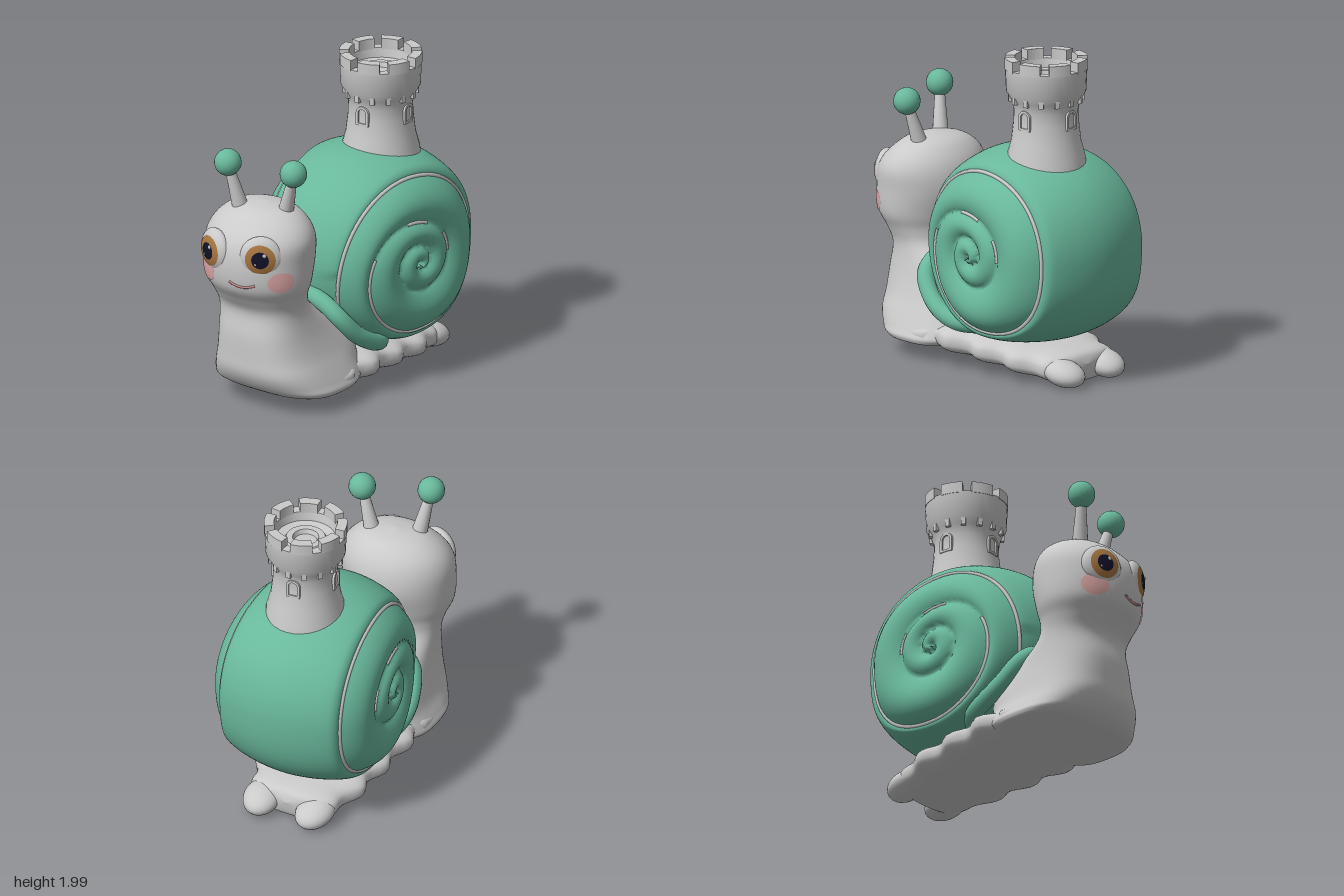
import * as THREE from 'three';
import { mergeVertices, toCreasedNormals } from 'three/addons/utils/BufferGeometryUtils.js';

const material = (name, color, side = THREE.FrontSide) => {
  const m = new THREE.MeshStandardMaterial({ color, side });
  m.name = name;
  return m;
};
const { PI, sin, cos, sign, abs, min, max, pow, floor, sqrt } = Math;

// Uniform Catmull-Rom through rows of numbers, t counted in rows
function spline(rows, t) {
  const n = rows.length - 1;
  t = min(max(t, 0), n);
  const i = min(floor(t), n - 1), f = t - i;
  const [p, a, b, q] = [max(i - 1, 0), i, i + 1, min(i + 2, n)].map(k => rows[k]);
  return a.map((v, k) => v + 0.5 * f * (b[k] - p[k]
    + f * (2 * p[k] - 5 * v + 4 * b[k] - q[k] + f * (3 * (v - b[k]) + q[k] - p[k]))));
}

// Smooth surface from a function of u and v, both 0..1
function surface(f, nu, nv) {
  const pos = [], index = [];
  for (let j = 0; j <= nv; j++) for (let i = 0; i <= nu; i++) pos.push(...f((i % nu) / nu, j / nv));
  for (let j = 0; j < nv; j++) for (let i = 0; i < nu; i++) {
    const a = j * (nu + 1) + i, c = a + nu + 1;
    index.push(a, a + 1, c, a + 1, c + 1, c);
  }
  const g = new THREE.BufferGeometry();
  g.setAttribute('position', new THREE.Float32BufferAttribute(pos, 3));
  g.setIndex(index);
  const merged = mergeVertices(g, 1e-5);
  merged.computeVertexNormals();
  return merged;
}
const power = (v, e) => sign(v) * pow(abs(v), e);

// Neck and head sections: y, centre x, centre z, half width, half depth, squareness
const BODY = [
  [0.095, -0.02, 0.40, 0, 0, 0.7], [0.1, -0.02, 0.40, 0.36, 0.24, 0.7],
  [0.13, -0.02, 0.40, 0.425, 0.33, 0.7], [0.18, -0.02, 0.40, 0.41, 0.385, 0.7],
  [0.26, -0.02, 0.42, 0.375, 0.405, 0.7], [0.36, -0.03, 0.42, 0.34, 0.41, 0.7],
  [0.50, -0.04, 0.50, 0.305, 0.33, 0.75], [0.65, -0.05, 0.59, 0.288, 0.225, 0.85],
  [0.75, -0.05, 0.63, 0.31, 0.24, 0.95], [0.85, -0.05, 0.65, 0.35, 0.285, 1],
  [1.00, -0.05, 0.64, 0.36, 0.31, 1], [1.13, -0.045, 0.63, 0.355, 0.29, 1],
  [1.23, -0.045, 0.61, 0.295, 0.225, 1], [1.30, -0.04, 0.60, 0.18, 0.135, 1],
  [1.325, -0.04, 0.60, 0, 0, 1],
];
function bodyPoint(t, a, off = 0) {
  const [y, cx, cz, rx, rz, e] = spline(BODY, t);
  return [cx + (max(rx, 0) + off) * power(sin(a), e), y, cz + (max(rz, 0) + off) * power(cos(a), e)];
}
function rowAt(y) {
  let lo = 0, hi = BODY.length - 1;
  for (let k = 0; k < 30; k++) {
    const mid = (lo + hi) / 2;
    if (spline(BODY, mid)[0] < y) lo = mid; else hi = mid;
  }
  return lo;
}

// Foot sections from tail to front: z, half width, top, bottom
const FOOT = [
  [-0.77, 0, 0.12, 0.12], [-0.74, 0.19, 0.18, 0.015], [-0.66, 0.29, 0.205, 0.012],
  [-0.5, 0.34, 0.225, 0.03], [-0.25, 0.37, 0.25, 0.05], [0.1, 0.40, 0.28, 0.07],
  [0.35, 0.415, 0.24, 0.085], [0.55, 0.39, 0.2, 0.1], [0.65, 0.35, 0.18, 0.11],
  [0.71, 0.25, 0.17, 0.13], [0.73, 0, 0.15, 0.15],
];
function footPoint(u, v) {
  const [z, w, top, bottom] = spline(FOOT, v * (FOOT.length - 1));
  const wave = 1 + (z < 0.25 ? 0.07 * sin(z * 24) : 0);
  return [-0.02 + max(w, 0) * wave * power(cos(u * 2 * PI), 0.75),
    (top + bottom) / 2 + (top - bottom) / 2 * power(sin(u * 2 * PI), 0.75), z];
}

// Spiral groove radius for every quarter turn, starting at the rim
const SPIRAL = [1.04, 0.87, 0.8, 0.79, 0.82, 0.62, 0.4, 0.36, 0.32, 0.25, 0.18, 0.12, 0.06, 0].map(v => [v]);
const groove = q => q < -1 ? 1.04 : spline(SPIRAL, q + 1)[0];
function shellPoint(r, a, side) {
  const q = a / (PI / 2), s = sin(a), c = cos(a);
  let bump = 0;
  for (let k = -1; k < 4; k++) {
    const outer = groove(q + 4 * k), inner = groove(q + 4 * k + 4);
    if (r <= outer && r > inner) bump = 0.05 * pow(sin(PI * (r - inner) / (outer - inner)), 0.7);
  }
  const edge = max(0, 1 - pow(r, 4));
  // The shell is broader at the back and underneath
  const broad = (0.98 - 0.12 * r * c) * (1 + 0.35 * pow(r, 3) * pow(max(0, -s), 2));
  const x = (0.475 * sqrt(edge) + bump * min(1, edge * 2.5)) * broad;
  const full = r * r * (c < 0 ? (s < 0 ? 0.14 : 0.06) : 0) * pow(s * c, 2) * 2;
  return [side * x, 0.82 - 0.04 * (1 - r) + 0.605 * r * s * (1 + full),
    -0.3 + 0.06 * (1 - r) + 0.655 * r * c * (1 + full)];
}

export function createModel() {
  const skin = material('pale grey', 0xcacaca), green = material('shell green', 0x69b89c);
  const pink = material('blush pink', 0xdea9a7, THREE.DoubleSide), lip = material('mouth rose', 0xc58d8b);
  const amber = material('iris amber', 0xa87640), dark = material('pupil navy', 0x12122a);
  const model = new THREE.Group();
  const add = (name, geometry, mat, parent = model) => {
    const mesh = new THREE.Mesh(geometry, mat);
    mesh.name = name;
    parent.add(mesh);
    return mesh;
  };
  const tube = (points, radius, n, sides = 8) =>
    new THREE.TubeGeometry(new THREE.CatmullRomCurve3(points.map(p => new THREE.Vector3(...p))), n, radius, sides);

  // Body, scalloped foot and split tail
  add('neckAndHead', surface((u, v) => bodyPoint(v * (BODY.length - 1), u * 2 * PI), 64, 70), skin);
  add('foot', surface(footPoint, 48, 80), skin);
  for (const [x, z, length] of [[0.16, -0.745, 0.14], [-0.2, -0.73, 0.14]]) {
    const lobe = add('tailLobe', new THREE.SphereGeometry(1, 24, 16), skin);
    lobe.scale.set(0.115, 0.078, length);
    lobe.position.set(x, 0.088, z);
    lobe.rotation.set(-0.25, x, 0);
  }

  // Shell with coiled sides
  add('shell', surface((u, v) => {
    const s = 1 - 2 * v;
    return shellPoint(cos(s * PI / 2), u * 2 * PI, sign(s) || 1);
  }, 112, 120), green);
  for (const s of [-1, 1]) for (const [from, to] of [[-0.75, 4.15], [4.75, 5.15], [5.6, 6.0]]) {
    const points = [];
    const n = Math.ceil((to - from) * 10);
    for (let i = 0; i <= n; i++) {
      const q = from + (to - from) * i / n;
      const a = ((q * PI / 2) + 2 * PI) % (2 * PI);
      const p = shellPoint(groove(q), a, s);
      p[0] += s * 0.008;
      points.push(p);
    }
    add('spiralLine', tube(points, 0.013, n * 3, 6), skin);
  }
  // Rolled lip where the shell meets the neck
  const half = [[0.26, 0.29, -0.12], [0.35, 0.305, -0.02], [0.375, 0.35, 0.1], [0.36, 0.43, 0.22],
    [0.31, 0.55, 0.315], [0.2, 0.63, 0.335]];
  const mirrored = half.map(([x, y, z]) => [-x, y, z]).reverse();
  add('shellLip', tube([...half, [0, 0.67, 0.33], ...mirrored], 0.055, 90, 14), green);

  // Feelers
  for (const [base, tip] of [[[-0.16, 1.25, 0.68], [-0.215, 1.57, 0.745]], [[0.1, 1.25, 0.58], [0.19, 1.55, 0.61]]]) {
    const a = new THREE.Vector3(...base), b = new THREE.Vector3(...tip);
    const stalk = add('feelerStalk', new THREE.CylinderGeometry(0.026, 0.052, a.distanceTo(b), 16), skin);
    stalk.position.lerpVectors(a, b, 0.5);
    stalk.quaternion.setFromUnitVectors(new THREE.Vector3(0, 1, 0), b.clone().sub(a).normalize());
    add('feelerBall', new THREE.SphereGeometry(0.084, 20, 14), green).position.copy(b);
  }

  // Eyes: flattened balls with thin caps for iris and pupil
  const cap = (r, angle) => new THREE.SphereGeometry(r, 28, 10, 0, 2 * PI, 0, angle).rotateX(PI / 2);
  for (const [a, y, turn, off] of [[-0.45, 1.05, -0.32, -0.03], [0.61, 1.065, 0.55, -0.045]]) {
    const eye = new THREE.Group();
    eye.name = 'eye';
    eye.position.set(...bodyPoint(rowAt(y), a, off));
    eye.rotation.set(0, turn, 0);
    eye.scale.z = 0.48;
    model.add(eye);
    add('eyeball', new THREE.SphereGeometry(0.134, 28, 20), skin, eye);
    add('iris', cap(0.137, 0.77), amber, eye);
    add('pupil', cap(0.14, 0.4), dark, eye);
    for (const [x, h, r] of [[0.027, 0.033, 0.013], [-0.03, -0.028, 0.007]])
      add('eyeGlint', new THREE.SphereGeometry(r, 10, 8), skin, eye).position.set(x, h, 0.133);
  }

  // Cheeks and mouth follow the head surface
  for (const a0 of [-0.6, 1.02]) add('cheek', surface((u, v) => {
    const k = 1 - v;
    return bodyPoint(rowAt(0.91 + k * 0.067 * sin(u * 2 * PI)), a0 + k * 0.27 * cos(u * 2 * PI), 0.005);
  }, 32, 6), pink);
  const smile = [];
  for (let i = 0; i <= 8; i++) {
    const k = i / 4 - 1;
    smile.push(bodyPoint(rowAt(0.872 + 0.022 * k * k), 0.28 + 0.25 * k, 0.001));
  }
  add('mouth', tube(smile, 0.008, 24, 6), lip);

  // Castle tower on top of the shell
  const tower = new THREE.Group();
  tower.name = 'tower';
  tower.position.set(0.02, 0, -0.44);
  model.add(tower);
  const profile = [[0.25, 1.3], [0.24, 1.38], [0.214, 1.48], [0.2, 1.6], [0.198, 1.68], [0.215, 1.74], [0.245, 1.79],
    [0.252, 1.94], [0.195, 1.94], [0.185, 1.88], [0.13, 1.87], [0.12, 1.89], [0.08, 1.89], [0.07, 1.86], [0, 1.86]];
  const wall = new THREE.LatheGeometry(profile.map(p => new THREE.Vector2(...p)), 32);
  add('towerWall', toCreasedNormals(wall, 0.6), skin, tower);
  for (let i = 0; i < 8; i++) {
    const a = i * PI / 4 + 0.1;
    const block = new THREE.Shape();
    block.absarc(0, 0, 0.254, a, a + 0.56, false);
    block.absarc(0, 0, 0.193, a + 0.56, a, true);
    const g = new THREE.ExtrudeGeometry(block, { depth: 0.07, bevelEnabled: false, curveSegments: 5 });
    add('battlement', g.rotateX(-PI / 2).translate(0, 1.93, 0), skin, tower);
  }
  // Brackets under the battlements
  for (let i = 0; i < 14; i++) {
    const a = i * PI / 7;
    const bracket = add('bracket', new THREE.BoxGeometry(0.03, 0.06, 0.04), skin, tower);
    bracket.position.set(0.212 * sin(a), 1.755, 0.212 * cos(a));
    bracket.rotation.y = a;
  }
  // Arched window frames
  const arch = (w, h, path) => {
    path.moveTo(-w, -h);
    path.lineTo(w, -h);
    path.lineTo(w, 0.02);
    path.absarc(0, 0.02, w, 0, PI, false);
    return path;
  };
  const frame = arch(0.045, 0.06, new THREE.Shape());
  frame.holes.push(arch(0.028, 0.045, new THREE.Path()));
  for (let i = 0; i < 4; i++) {
    const a = i * PI / 2 + 0.1;
    const g = new THREE.ExtrudeGeometry(frame, { depth: 0.03, bevelEnabled: false, curveSegments: 8 });
    const opening = add('windowFrame', g, skin, tower);
    opening.position.set(0.178 * sin(a), 1.63, 0.178 * cos(a));
    opening.rotation.y = a;
  }
  return model;
}
